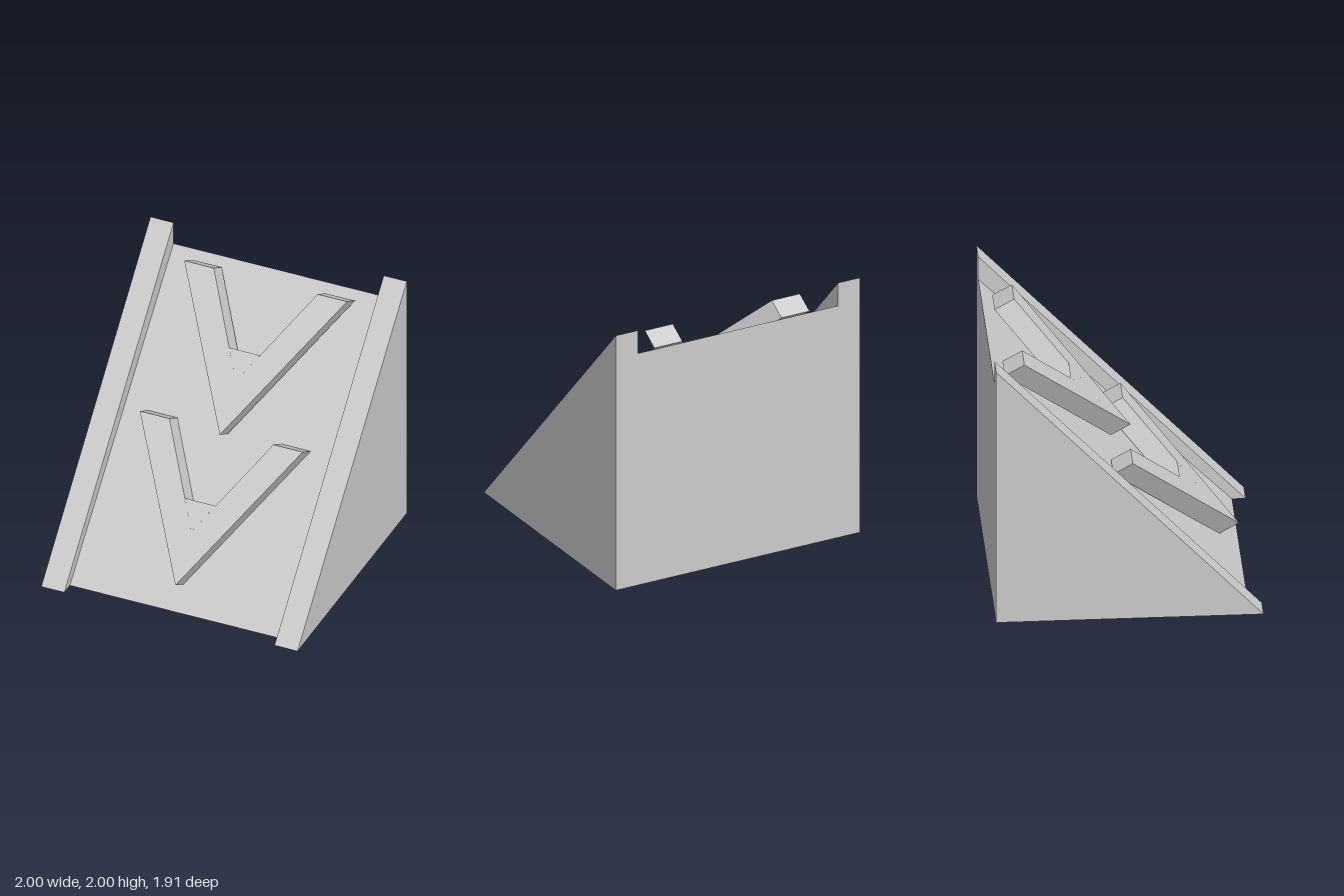
import * as THREE from 'three';

const material = new THREE.MeshStandardMaterial({ color: 0xcccccc, flatShading: true, side: THREE.DoubleSide });
const BACK = -0.955;

function polygon(points) {
  return new THREE.Shape(points.map(([x, y]) => new THREE.Vector2(x, y)));
}

// Right-angled wedge with an upright back, spanning x0 to x1
function wedge(name, x0, x1, front, height) {
  const profile = polygon([[-front, 0], [-BACK, 0], [-BACK, height]]);
  const geometry = new THREE.ExtrudeGeometry(profile, { depth: x1 - x0, bevelEnabled: false });
  geometry.rotateY(Math.PI / 2).translate(x0, 0, 0);
  const mesh = new THREE.Mesh(geometry, material);
  mesh.name = name;
  return mesh;
}

// Raised V lying on the slope, with a thin web across its inner corner
function chevron(name, tipY, tipZ) {
  const group = new THREE.Group();
  group.name = name;
  const arms = polygon([
    [0, 0], [0.635, 0.825], [0.405, 0.825], [0, 0.287], [-0.405, 0.825], [-0.635, 0.825],
  ]);
  const web = polygon([[0, 0.287], [0.12, 0.447], [-0.12, 0.447]]);

  // Shape y runs up the slope; depth runs along the slanted thickness
  const slant = new THREE.Matrix4().makeBasis(
    new THREE.Vector3(1, 0, 0),
    new THREE.Vector3(0, 1, -0.973),
    new THREE.Vector3(0, 0.08, 0.14),
  );
  const armsGeometry = new THREE.ExtrudeGeometry(arms, { depth: 1, bevelEnabled: false });
  armsGeometry.translate(0, 0, -1).applyMatrix4(slant);
  const webGeometry = new THREE.ShapeGeometry(web).applyMatrix4(slant);

  const armsMesh = new THREE.Mesh(armsGeometry, material);
  armsMesh.name = 'chevronArms';
  const webMesh = new THREE.Mesh(webGeometry, material);
  webMesh.name = 'chevronWeb';
  group.add(armsMesh, webMesh);
  group.position.set(0, tipY, tipZ);
  return group;
}

export function createModel() {
  const model = new THREE.Group();
  model.name = 'ramp';

  // Ramp body between two taller side rails
  model.add(wedge('rampBody', -0.82, 0.82, 0.858, 1.82));
  model.add(wedge('leftRail', 0.82, 1, 0.955, 2));
  model.add(wedge('rightRail', -1, -0.82, 0.955, 2));

  // Two direction markers, one above the other
  model.add(chevron('lowerChevron', 0.225, 0.85));
  model.add(chevron('upperChevron', 1.04, 0.075));
  return model;
}
